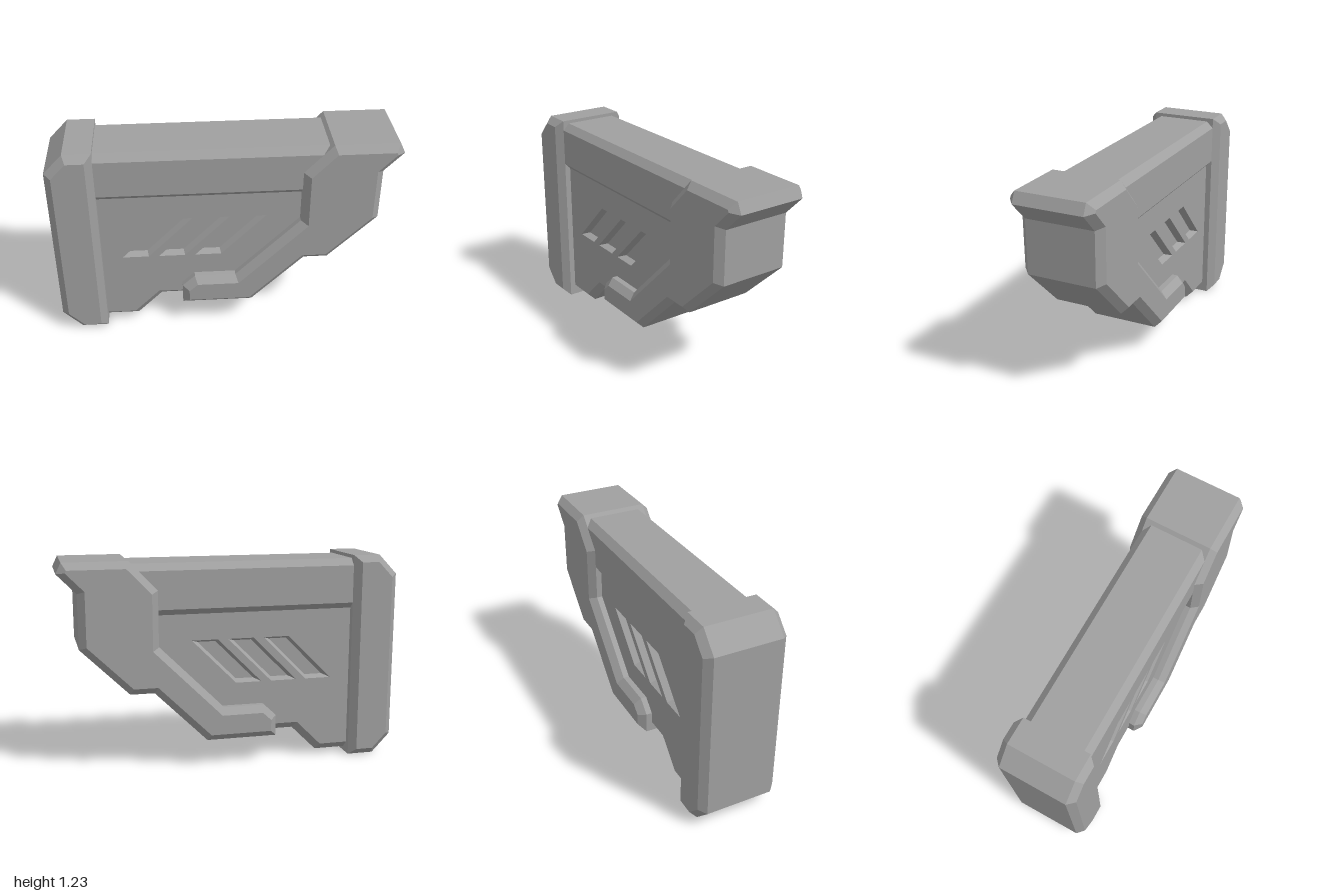
import * as THREE from 'three';

const grey = new THREE.MeshStandardMaterial({ color: 0xa0a0a0 });
grey.name = 'plain grey';

const toPoints = (list) => list.map(([x, y]) => new THREE.Vector2(x, y));

// Moves every edge of a counter-clockwise outline inwards by d
function inset(loop, d) {
  return loop.map((p, i) => {
    const a = loop[(i + loop.length - 1) % loop.length];
    const b = loop[(i + 1) % loop.length];
    const u = p.clone().sub(a).normalize();
    const v = b.clone().sub(p).normalize();
    const n1 = new THREE.Vector2(-u.y, u.x);
    const n2 = new THREE.Vector2(-v.y, v.x);
    const k = d / (1 + n1.dot(n2));
    return p.clone().add(n1.add(n2).multiplyScalar(k));
  });
}

// Bevelled slab, symmetric in z, with optional tapered pockets on both faces
function slab(name, outline, half, bevel, pockets = [], depth = 0.04, taper = 0.017) {
  const tris = [];
  const at = (p, z) => [p.x, p.y, z];
  const ring = (A, zA, B, zB) => {
    A.forEach((p, i) => {
      const j = (i + 1) % A.length;
      tris.push([at(p, zA), at(A[j], zA), at(B[j], zB)]);
      tris.push([at(p, zA), at(B[j], zB), at(B[i], zB)]);
    });
  };
  const cap = (loop, holes, z) => {
    const all = [loop, ...holes].flat();
    for (const f of THREE.ShapeUtils.triangulateShape(loop, holes)) {
      tris.push(f.map((i) => at(all[i], z)));
    }
  };

  const outer = toPoints(outline);
  const face = inset(outer, bevel);
  const rims = pockets.map(toPoints);
  ring(outer, 0, outer, half - bevel);
  ring(outer, half - bevel, face, half);
  cap(face, rims.map((r) => r.slice().reverse()), half);
  for (const rim of rims) {
    const floor = inset(rim, taper);
    ring(rim, half, floor, half - depth);
    cap(floor, [], half - depth);
  }

  // Mirror the front half to the back
  const back = tris.map(([a, b, c]) => [a, c, b].map(([x, y, z]) => [x, y, -z]));
  const geometry = new THREE.BufferGeometry();
  geometry.setAttribute('position', new THREE.Float32BufferAttribute([...tris, ...back].flat(2), 3));
  geometry.computeVertexNormals();
  const mesh = new THREE.Mesh(geometry, grey);
  mesh.name = name;
  return mesh;
}

export function createModel() {
  const model = new THREE.Group();
  model.name = 'armouredBracket';

  // Upright end cap
  model.add(slab('endCap', [
    [-1, 0.115], [-0.89, 0], [-0.73, 0], [-0.73, 1.23], [-0.89, 1.23], [-1, 1.115],
  ], 0.24, 0.04));

  // Thick band along the top
  model.add(slab('topBand', [
    [-0.85, 0.908], [0.7, 0.908], [0.7, 1.21], [-0.85, 1.21],
  ], 0.2, 0.04));

  // Main panel with three slanted vents on each side
  const vents = [0, 1, 2].map((i) => [
    [-0.61, 0.49], [-0.455, 0.49], [-0.19, 0.757], [-0.345, 0.757],
  ].map(([x, y]) => [x + i * 0.216, y]));
  model.add(slab('ventedPanel', [
    [-0.85, 0.025], [-0.54, 0.025], [-0.388, 0.177], [0.12, 0.177],
    [0.54, 0.6], [0.54, 1.1], [-0.85, 1.1],
  ], 0.165, 0.043, vents));

  // Stepped diagonal brace
  model.add(slab('diagonalBrace', [
    [-0.26, 0.16], [0.16, 0.16], [0.47, 0.467], [0.61, 0.467], [0.89, 0.742],
    [0.89, 1.055], [1, 1.168], [0.97, 1.23], [0.603, 1.23], [0.44, 1.06],
    [0.44, 0.735], [0.06, 0.355], [-0.185, 0.355], [-0.26, 0.285],
  ], 0.24, 0.04));

  return model;
}
